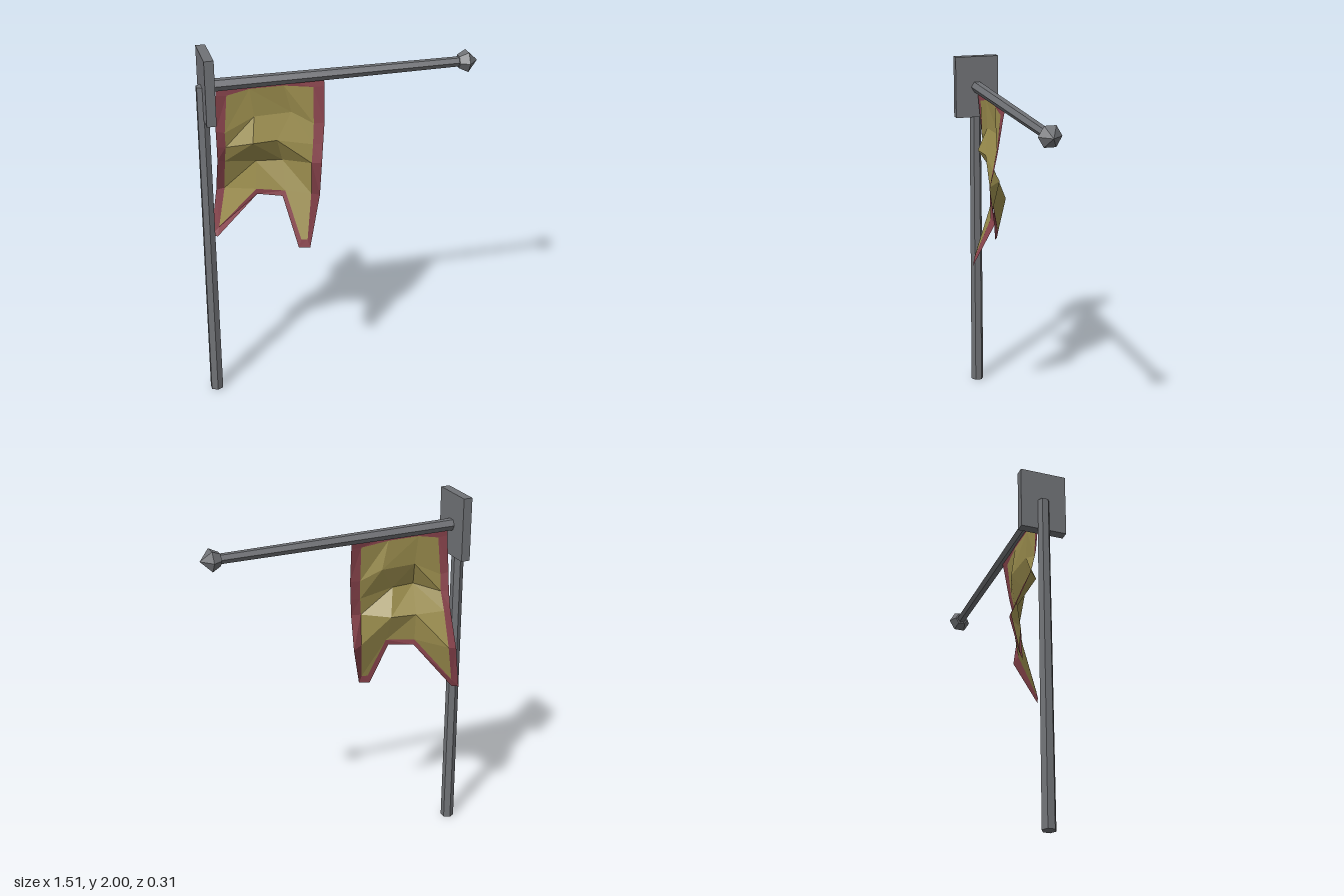
import * as THREE from 'three';

const metal = new THREE.MeshStandardMaterial({ color: 0x707276, flatShading: true });
const gold = new THREE.MeshStandardMaterial({ color: 0x9c8e4e, flatShading: true, side: THREE.DoubleSide });
const red = new THREE.MeshStandardMaterial({ color: 0x8a444d, flatShading: true, side: THREE.DoubleSide });

function addMesh(group, name, geometry, material, x = 0, y = 0, z = 0) {
  const mesh = new THREE.Mesh(geometry, material);
  mesh.name = name;
  mesh.position.set(x, y, z);
  group.add(mesh);
  return mesh;
}

// Surface from a list of three- or four-cornered panels
function panels(list) {
  const pos = [];
  for (const [a, b, c, d] of list) {
    pos.push(...a, ...b, ...c);
    if (d) pos.push(...a, ...c, ...d);
  }
  const g = new THREE.BufferGeometry();
  g.setAttribute('position', new THREE.Float32BufferAttribute(pos, 3));
  g.computeVertexNormals();
  return g;
}

function createBanner() {
  const banner = new THREE.Group();
  banner.name = 'banner';

  // Cloth cross-sections from the arm down to the notch, left edge to right edge
  const rows = [
    [[-0.655, 1.81, 0], [-0.6, 1.81, 0], [-0.48, 1.81, 0], [-0.3, 1.81, 0], [-0.145, 1.81, 0], [-0.085, 1.81, 0]],
    [[-0.655, 1.765, 0], [-0.6, 1.76, 0], [-0.48, 1.785, 0], [-0.3, 1.785, 0], [-0.145, 1.765, 0.01], [-0.087, 1.765, 0.01]],
    [[-0.66, 1.56, -0.02], [-0.615, 1.55, -0.01], [-0.46, 1.63, 0], [-0.26, 1.63, -0.01], [-0.15, 1.57, 0.03], [-0.095, 1.57, 0.04]],
    [[-0.655, 1.46, -0.04], [-0.61, 1.46, -0.03], [-0.48, 1.5, 0.05], [-0.35, 1.5, 0.04], [-0.16, 1.46, 0.05], [-0.108, 1.46, 0.06]],
    [[-0.65, 1.37, -0.07], [-0.61, 1.36, -0.075], [-0.45, 1.355, -0.05], [-0.31, 1.355, -0.03], [-0.172, 1.36, 0.065], [-0.12, 1.36, 0.08]],
    [[-0.65, 1.16, -0.155], [-0.605, 1.17, -0.15], [-0.455, 1.2, -0.03], [-0.31, 1.2, 0.03], [-0.175, 1.18, 0.06], [-0.125, 1.16, 0.05]],
  ];
  const cloth = [], trim = [];
  for (let r = 0; r < rows.length - 1; r++) {
    for (let c = 0; c < 5; c++) {
      const [a, b] = [rows[r], rows[r + 1]];
      const edge = r === 0 || c === 0 || c === 4;
      // Diagonals mirror about the middle fold
      const quad = c < 2
        ? [b[c], b[c + 1], a[c + 1], a[c]]
        : [a[c], b[c], b[c + 1], a[c + 1]];
      (edge ? trim : cloth).push(quad);
    }
  }

  // Hem of the notch and the two hanging tails
  const [edgeL, innerL, midL, midR, innerR, edgeR] = rows[5];
  const notchL = [-0.45, 1.17, -0.03], notchR = [-0.325, 1.17, 0.03];
  trim.push([notchL, notchR, midR, midL]);

  const tipL = [-0.695, 0.905, -0.12], tipL2 = [-0.662, 0.905, -0.1], pointL = [-0.65, 0.955, -0.115];
  cloth.push([innerL, pointL, midL]);
  trim.push([edgeL, tipL, pointL, innerL], [tipL, tipL2, pointL], [pointL, tipL2, notchL, midL]);

  const tipR = [-0.207, 0.905, 0.155], tipR2 = [-0.265, 0.905, 0.135];
  const pointR = [-0.218, 0.95, 0.143], pointR2 = [-0.25, 0.95, 0.133];
  cloth.push([midR, pointR2, pointR, innerR]);
  trim.push([pointR, tipR, edgeR, innerR], [tipR2, tipR, pointR, pointR2], [notchR, tipR2, pointR2, midR]);

  addMesh(banner, 'bannerCloth', panels(cloth), gold);
  addMesh(banner, 'bannerTrim', panels(trim), red);
  return banner;
}

export function createModel() {
  const model = new THREE.Group();
  model.name = 'bannerPole';

  // Hexagonal post, slightly tapered, with the mounting plate at its top
  addMesh(model, 'post', new THREE.CylinderGeometry(0.033, 0.037, 1.825, 6), metal, -0.724, 0.9125, 0);
  addMesh(model, 'mountingPlate', new THREE.BoxGeometry(0.05, 0.35, 0.25), metal, -0.702, 1.825, 0);

  // Horizontal arm, tapering towards the pointed finial
  const arm = addMesh(model, 'arm', new THREE.CylinderGeometry(0.027, 0.034, 1.36, 6), metal, -0.02, 1.825, 0);
  arm.rotation.z = -Math.PI / 2;

  const profile = [[0, 0], [0.037, 0], [0.062, 0.048], [0, 0.105]].map(p => new THREE.Vector2(...p));
  const finial = addMesh(model, 'finial', new THREE.LatheGeometry(profile, 6), metal, 0.647, 1.825, 0);
  finial.rotation.z = -Math.PI / 2;

  model.add(createBanner());
  return model;
}
